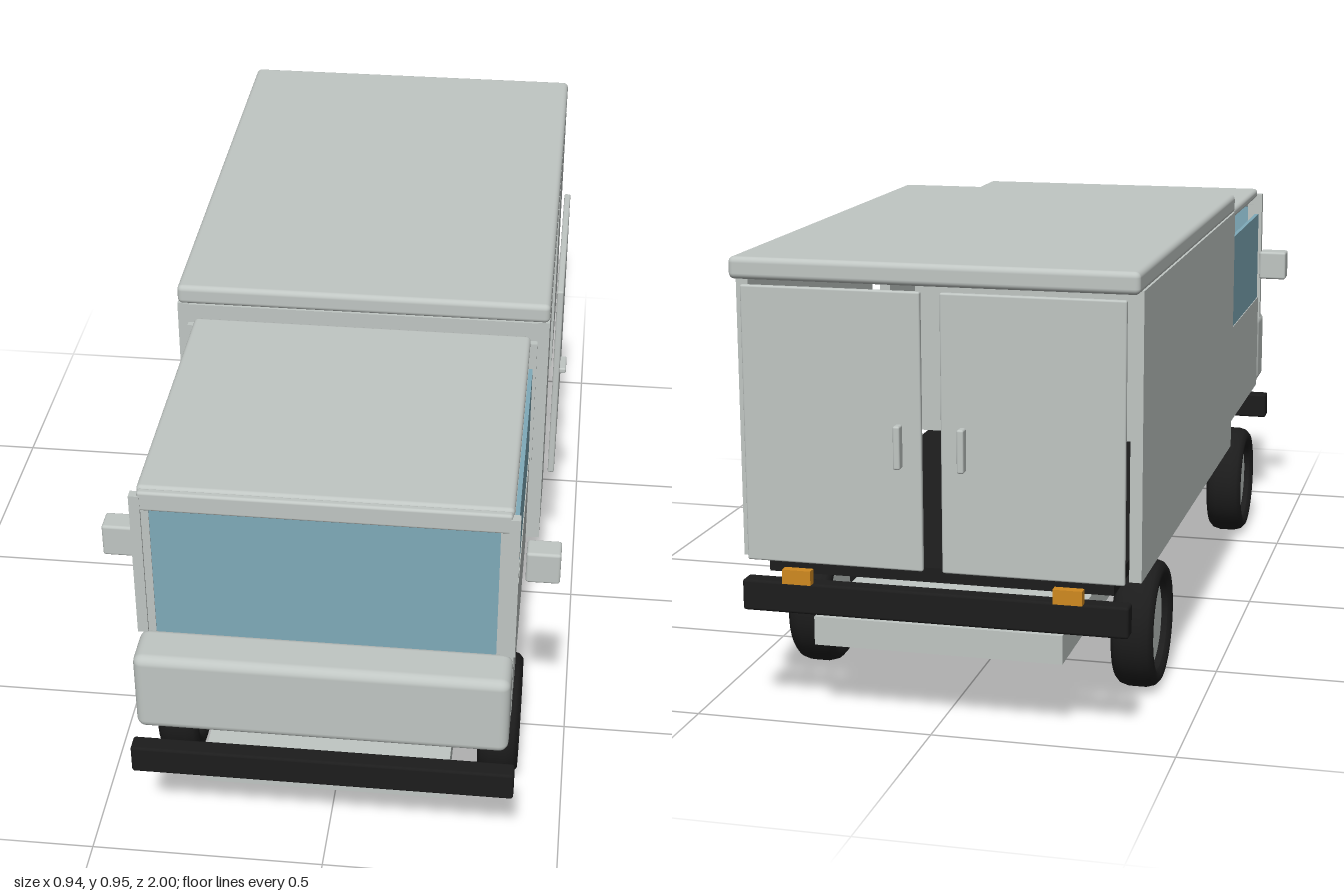
import * as THREE from 'three';
import { RoundedBoxGeometry } from 'three/addons/geometries/RoundedBoxGeometry.js';

const mat = (name, color) => {
  const m = new THREE.MeshStandardMaterial({ color });
  m.name = name;
  return m;
};

export function createModel() {
  const van = new THREE.Group();
  van.name = 'boxVan';
  const body = mat('bodyGrey', 0xc0c6c3);
  const black = mat('black', 0x1c1c1c);
  const glass = mat('glassBlue', 0x7faab9);
  const amber = mat('amber', 0xd08a20);

  const add = (name, geometry, material, parent = van) => {
    const mesh = new THREE.Mesh(geometry, material);
    mesh.name = name;
    parent.add(mesh);
    return mesh;
  };
  // Box given by its limits on each axis, with an optional edge radius
  const box = (name, material, [x0, x1], [y0, y1], [z0, z1], r = 0) => {
    const s = [x1 - x0, y1 - y0, z1 - z0];
    const g = r ? new RoundedBoxGeometry(...s, 3, r) : new THREE.BoxGeometry(...s);
    add(name, g, material).position.set((x0 + x1) / 2, (y0 + y1) / 2, (z0 + z1) / 2);
  };
  // The same box on both sides, x limits given for the left
  const pair = (name, material, [x0, x1], y, z, r) => {
    box(name + 'Left', material, [x0, x1], y, z, r);
    box(name + 'Right', material, [-x1, -x0], y, z, r);
  };

  // Chassis, floors and bumpers
  box('chassis', body, [-0.26, 0.26], [0.155, 0.215], [-0.95, 0.93]);
  box('cabFloor', black, [-0.36, 0.36], [0.31, 0.335], [0.215, 0.89]);
  box('cargoFloor', black, [-0.36, 0.36], [0.3, 0.33], [-0.93, 0.215]);
  box('frontBumper', black, [-0.4, 0.4], [0.23, 0.295], [0.96, 1], 0.006);
  box('rearBumper', black, [-0.4, 0.4], [0.23, 0.295], [-0.985, -0.945], 0.006);
  pair('rearLamp', amber, [0.25, 0.31], [0.295, 0.325], [-0.995, -0.975]);

  // Cab
  box('nose', body, [-0.385, 0.385], [0.345, 0.53], [0.885, 0.993], 0.02);
  box('cabRoof', body, [-0.375, 0.375], [0.86, 0.885], [0.225, 0.89], 0.01);
  pair('cabDoor', body, [0.368, 0.385], [0.345, 0.59], [0.25, 0.87]);
  pair('sideWindow', glass, [0.374, 0.383], [0.59, 0.82], [0.26, 0.858]);
  pair('rearPillar', body, [0.368, 0.39], [0.54, 0.87], [0.224, 0.238]);
  pair('frontPillar', body, [0.366, 0.388], [0.53, 0.87], [0.884, 0.904]);
  box('windscreenHeader', body, [-0.372, 0.372], [0.835, 0.88], [0.885, 0.903], 0.006);
  pair('windscreenSide', body, [0.35, 0.366], [0.53, 0.84], [0.885, 0.899]);
  box('windscreen', glass, [-0.352, 0.352], [0.52, 0.837], [0.889, 0.897]);
  pair('mirror', body, [0.4, 0.47], [0.657, 0.73], [0.768, 0.82], 0.006);

  // Cargo box, with a doorway in the left wall
  box('cargoRoof', body, [-0.415, 0.415], [0.91, 0.955], [-0.975, 0.217], 0.012);
  box('cargoFrontWall', body, [-0.39, 0.39], [0.33, 0.91], [0.2, 0.215]);
  box('cargoWallRight', body, [-0.415, -0.39], [0.33, 0.912], [-0.93, 0.215]);
  box('cargoWallLeftFront', body, [0.39, 0.415], [0.33, 0.912], [-0.005, 0.215]);
  box('cargoWallLeftRear', body, [0.39, 0.415], [0.33, 0.912], [-0.93, -0.55]);
  box('doorwayHeader', body, [0.39, 0.415], [0.865, 0.912], [-0.55, -0.005]);

  // Sliding door standing off the wall, and the rear doors
  box('slidingDoor', body, [0.425, 0.44], [0.348, 0.853], [-0.527, -0.03], 0.004);
  box('slidingDoorHandle', body, [0.438, 0.455], [0.592, 0.606], [-0.155, -0.095], 0.004);
  pair('rearDoor', body, [0.02, 0.39], [0.335, 0.9], [-0.975, -0.962], 0.004);
  pair('rearDoorHandle', body, [0.058, 0.072], [0.547, 0.635], [-0.997, -0.973], 0.004);

  // Wheels: the axle runs along x, spokes on the +x face of each
  const tyreProfile = [
    [0.099, -0.036], [0.108, -0.044], [0.122, -0.044], [0.132, -0.035], [0.137, -0.018],
    [0.137, 0.018], [0.132, 0.035], [0.122, 0.044], [0.108, 0.044], [0.099, 0.036], [0.099, -0.036],
  ].map(([r, y]) => new THREE.Vector2(r, y));
  const tyre = new THREE.LatheGeometry(tyreProfile, 40).rotateZ(-Math.PI / 2);
  const disc = new THREE.CylinderGeometry(0.088, 0.088, 0.05, 40).rotateZ(-Math.PI / 2);
  const hub = new THREE.CylinderGeometry(0.018, 0.018, 0.016, 20).rotateZ(-Math.PI / 2);
  const spoke = new THREE.BoxGeometry(0.012, 0.075, 0.014).translate(0, 0.045, 0);
  for (const z of [0.62, -0.605]) {
    for (const side of [1, -1]) {
      const wheel = new THREE.Group();
      wheel.name = (z > 0 ? 'front' : 'rear') + 'Wheel' + (side > 0 ? 'Left' : 'Right');
      wheel.position.set(side * 0.355, 0.139, z);
      van.add(wheel);
      add('tyre', tyre, black, wheel);
      add('rim', disc, body, wheel);
      add('hub', hub, body, wheel).position.x = 0.03;
      for (let i = 0; i < 5; i++) {
        const s = add('spoke', spoke, body, wheel);
        s.position.x = 0.03;
        s.rotation.x = (i * 2 * Math.PI) / 5 + 0.3;
      }
    }
  }
  return van;
}
